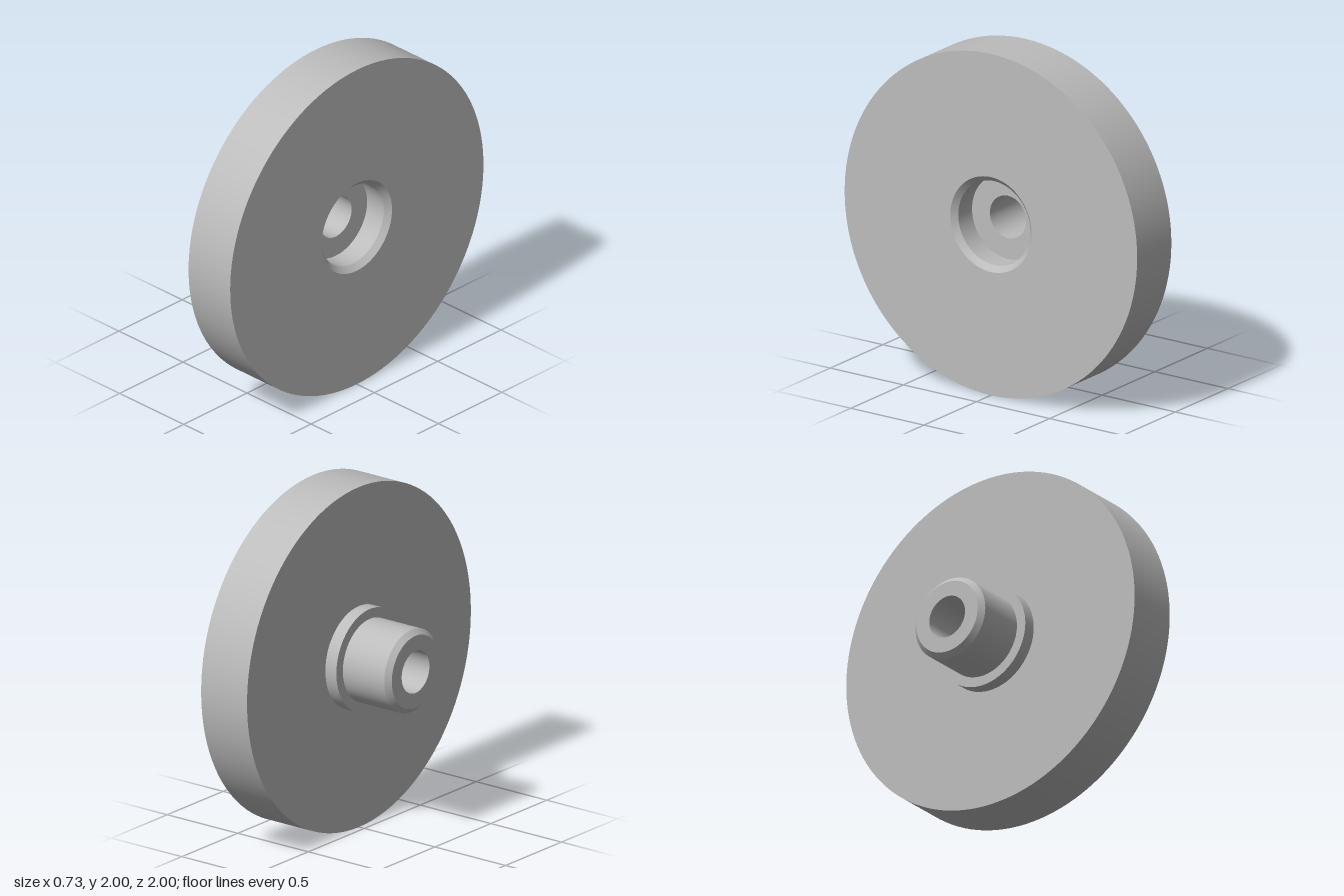
import * as THREE from 'three';

const SEGMENTS = 128;

export function createModel() {
  const model = new THREE.Group();
  model.name = 'flangedWheel';
  const grey = new THREE.MeshStandardMaterial({ color: 0xbcbcbc });
  grey.name = 'plain grey';

  // Each pair of neighbouring [radius, x] points becomes one band, so edges stay sharp
  const addTurnedPart = (name, profile) => {
    const part = new THREE.Group();
    part.name = name;
    for (let i = 0; i < profile.length - 1; i++) {
      const band = [profile[i], profile[i + 1]].map(([r, x]) => new THREE.Vector2(r, x));
      const geometry = new THREE.LatheGeometry(band, SEGMENTS);
      geometry.rotateZ(-Math.PI / 2); // turning axis along x
      const mesh = new THREE.Mesh(geometry, grey);
      mesh.name = `${name}Face${i + 1}`;
      part.add(mesh);
    }
    part.position.y = 1;
    model.add(part);
  };

  // Spigot with chamfered end
  addTurnedPart('spigot', [[0.124, -0.363], [0.212, -0.363], [0.242, -0.333], [0.242, -0.04]]);
  // Shoulder between spigot and disc
  addTurnedPart('shoulder', [[0.242, -0.04], [0.3, -0.04], [0.3, 0.038]]);
  // Large disc: back face, rim and outer face
  addTurnedPart('disc', [[0.3, 0.038], [1, 0.038], [1, 0.363], [0.278, 0.363]]);
  // Counterbore with chamfered mouth
  addTurnedPart('counterbore', [[0.278, 0.363], [0.246, 0.331], [0.246, 0.2], [0.124, 0.2]]);
  // Through hole
  addTurnedPart('bore', [[0.124, 0.2], [0.124, -0.363]]);

  return model;
}
